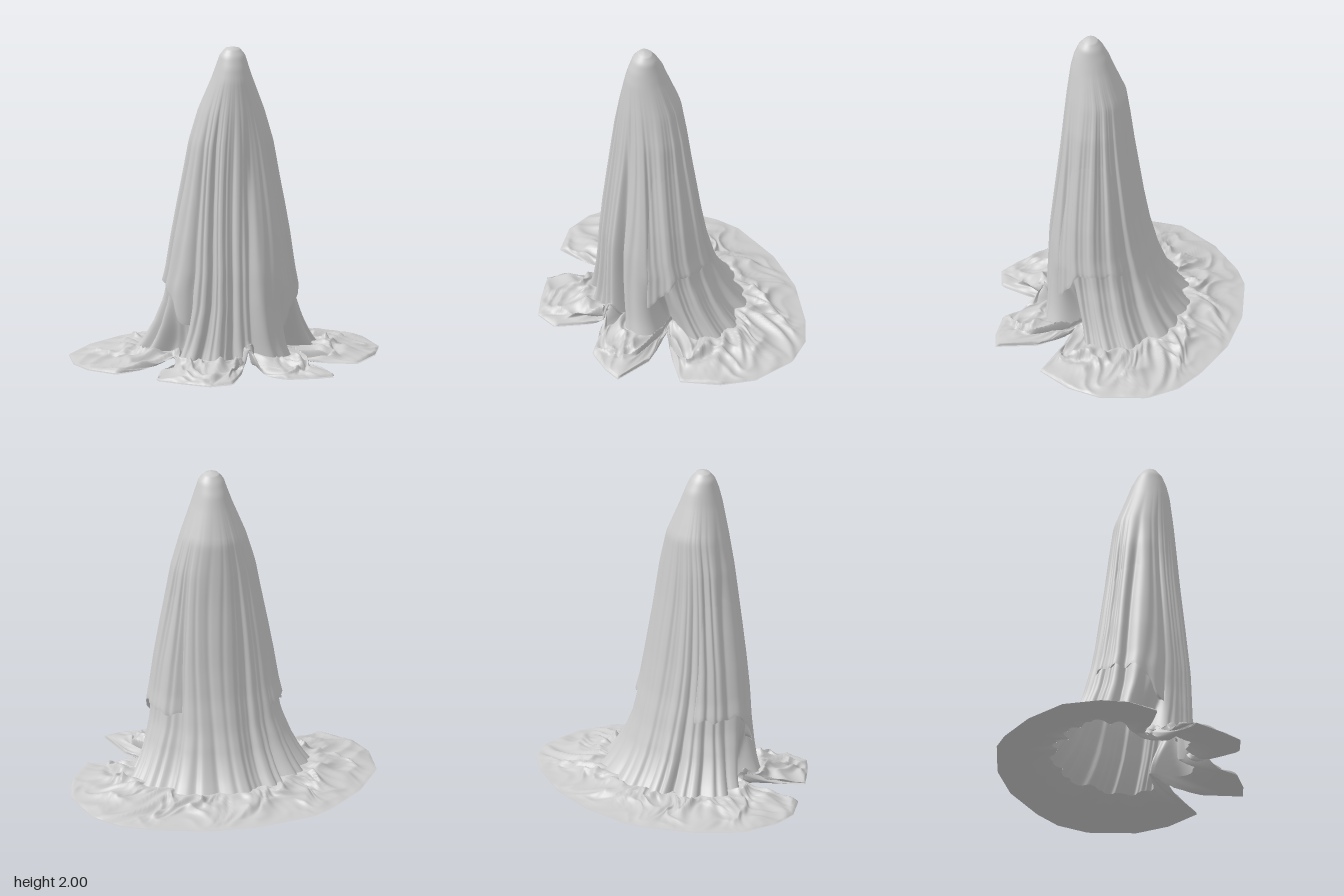
import * as THREE from 'three';

const material = new THREE.MeshStandardMaterial({ color: 0xcccccc, side: THREE.DoubleSide });
const { lerp, smoothstep, degToRad } = THREE.MathUtils;

// Cloth profile: height, half width, front z, back z
const PROFILE = [
  [2.0, 0, 0.17, 0.17], [1.99, 0.045, 0.205, 0.125], [1.95, 0.078, 0.24, 0.09],
  [1.88, 0.1, 0.268, 0.05], [1.8, 0.127, 0.287, 0.02], [1.6, 0.205, 0.312, -0.06],
  [1.4, 0.265, 0.332, -0.087], [1.2, 0.302, 0.352, -0.112], [1.0, 0.333, 0.375, -0.142],
  [0.8, 0.36, 0.398, -0.172], [0.6, 0.38, 0.42, -0.21], [0.4, 0.41, 0.428, -0.265],
  [0.25, 0.465, 0.434, -0.325], [0.14, 0.52, 0.44, -0.39], [0.07, 0.57, 0.455, -0.45],
];

// Edge of the cloth on the floor: angle from the front, x, z
const EDGE = [
  [0, 0.01, 0.46], [7, 0.05, 0.45], [12, 0.1, 0.54], [21, 0.24, 0.67], [32, 0.42, 0.68],
  [42, 0.54, 0.66], [52, 0.48, 0.41], [62, 0.33, 0.2], [70, 0.55, 0.28], [78, 0.75, 0.34],
  [88, 0.9, 0.14], [100, 0.965, -0.07], [115, 0.915, -0.36], [130, 0.78, -0.53],
  [143, 0.6, -0.63], [162, 0.27, -0.745], [183, -0.05, -0.775], [200, -0.4, -0.725],
  [212, -0.54, -0.655], [230, -0.77, -0.47], [248, -0.945, -0.23], [262, -0.965, 0.01],
  [272, -0.91, 0.18], [282, -0.76, 0.33], [292, -0.36, 0.19], [300, -0.34, 0.34],
  [312, -0.55, 0.54], [324, -0.4, 0.67], [334, -0.26, 0.77], [347, -0.11, 0.74],
  [360, 0.01, 0.46],
];

// Linear lookup in a table keyed by its first column
function lookup(table, key, descending) {
  const sign = descending ? -1 : 1;
  let i = 1;
  while (i < table.length - 1 && sign * table[i][0] < sign * key) i++;
  const a = table[i - 1], b = table[i];
  const t = THREE.MathUtils.clamp((key - a[0]) / (b[0] - a[0]), 0, 1);
  return a.map((n, k) => lerp(n, b[k], t));
}

const wrap = (deg) => ((deg % 360) + 360) % 360;
// Soft bump around an angle
function bump(deg, centre, width) {
  const d = wrap(deg - centre + 180) - 180;
  return Math.exp(-(d * d) / (width * width));
}
const sideNotch = (deg) => bump(deg, 58, 15) + bump(deg, 297, 15);
const lift = (deg) => 0.18 * bump(deg, 6, 5) + 0.07 * bump(deg, 62, 4) + 0.07 * bump(deg, 292, 4);

// Depth of the hanging folds, 0 on a ridge and about 1 in a valley
function folds(a, y) {
  const w = a + 0.13 * Math.sin(3 * a + 1) + 0.05 * Math.sin(2.5 * y + 4 * a);
  const reach = 0.75 + 0.25 * Math.sin(5 * a + 2 + 1.5 * y);
  const broad = Math.pow(0.5 + 0.5 * Math.cos(13 * w + 0.6), 2.2);
  const fine = Math.pow(0.5 + 0.5 * Math.cos(29 * w + 2 * Math.sin(2 * a)), 3);
  return reach * (0.75 * broad + 0.35 * fine);
}

// Point on the hanging cloth
function bodyPoint(deg, y, notched = true, scale = 1, foldScale = 1) {
  const a = degToRad(deg);
  const [, w, zf, zb] = lookup(PROFILE, y, true);
  const front = 0.5 + 0.5 * Math.cos(a);
  const low = 1 - smoothstep(y, 0.08, 0.5);
  // Folds deepen to the front and fan out near the floor
  const amp = smoothstep(2 - y, 0.1, 0.9) * lerp(0.07, 0.15, Math.sqrt(front)) + 0.08 * low * (1 - front);
  let r = 1 - foldScale * amp * folds(a, y);
  // Deep furrow down the front
  r -= 0.16 * bump(deg, 13, 4.5) * smoothstep(1.6 - y, 0, 0.6);
  if (notched) r -= 0.36 * Math.min(1, sideNotch(deg)) * low;
  r *= scale;
  const x = w * Math.sin(a) * r;
  const z = (zf + zb) / 2 + ((zf - zb) / 2) * Math.cos(a) * r;
  return [x, notched ? Math.max(y, lift(deg)) : y, z];
}

// Point on the floor train; t runs from the hanging cloth to the edge
function trainPoint(deg, t, crumple) {
  const a = degToRad(deg);
  const base = bodyPoint(deg, 0.07);
  const [, ox, oz] = lookup(EDGE, wrap(deg));
  const back = bump(deg, 183, 60);
  // Radial pleats, crossing creases and small crumples
  const radial = Math.abs(Math.sin(11 * a + 1.1 * Math.sin(7 * a + 5 * t) + 2 * t));
  const cross = Math.abs(Math.sin(8 * t + 2.2 * Math.sin(6 * a) + 1.1 * Math.sin(17 * a)));
  const small = Math.abs(Math.sin(31 * a + 7 * t + 2 * Math.sin(13 * a)));
  const fade = Math.min(1, 6 * t) * Math.pow(1 - t, lerp(0.4, 1.0, back));
  let y = base[1] * Math.pow(1 - t, 2.2);
  if (crumple) y += fade * (0.032 * (1 - radial) + 0.028 * (1 - cross) + 0.014 * (1 - small) + 0.008) + 0.008;
  const sway = crumple ? 0.025 * Math.sin(Math.PI * t) : 0;
  return [
    lerp(base[0], ox, t) + sway * Math.sin(9 * a + 7 * t),
    Math.max(y, lift(deg) * (1 - 0.2 * t)),
    lerp(base[2], oz, t) + sway * Math.cos(8 * a + 6 * t),
  ];
}

// Grid surface from a point rule; closed grids share their first column
function sheet(name, cols, rows, closed, point) {
  const positions = [], index = [];
  const width = closed ? cols : cols + 1;
  for (let i = 0; i <= rows; i++)
    for (let j = 0; j < width; j++) positions.push(...point(j / cols, i / rows));
  for (let i = 0; i < rows; i++)
    for (let j = 0; j < cols; j++) {
      const k = (j + 1) % width;
      const a = i * width + j, b = a + width, c = (i + 1) * width + k, d = i * width + k;
      index.push(a, b, c, a, c, d);
    }
  const geometry = new THREE.BufferGeometry();
  geometry.setAttribute('position', new THREE.Float32BufferAttribute(positions, 3));
  geometry.setIndex(index);
  geometry.computeVertexNormals();
  const mesh = new THREE.Mesh(geometry, material);
  mesh.name = name;
  return mesh;
}

export function createModel() {
  const group = new THREE.Group();
  group.name = 'drapedFigure';

  // Hanging cloth, with rows packed closer over the head
  group.add(sheet('hangingCloth', 360, 64, true, (u, v) =>
    bodyPoint(u * 360, 2 - 1.93 * Math.pow(v, 1.5))));

  // Crumpled cloth on the floor and its smooth underside
  group.add(sheet('floorTrain', 360, 36, true, (u, v) => trainPoint(u * 360, v, true)));
  group.add(sheet('trainUnderside', 180, 8, true, (u, v) => trainPoint(u * 360, v, false)));

  // Cloth over each arm, ending in a hem that drops towards the front
  for (const side of [1, -1]) {
    group.add(sheet(side > 0 ? 'leftSleeve' : 'rightSleeve', 70, 40, false, (u, v) => {
      const deg = side > 0 ? lerp(46, 134, u) : lerp(-134, -46, u);
      const hem = lerp(0.27, 0.5, smoothstep(Math.abs(deg), 48, 84)) + 0.012 * Math.sin(deg * 0.35);
      const drop = Math.min(1, v / 0.9);
      const curl = Math.max(0, (v - 0.9) / 0.1);
      const y = lerp(1.4, hem, drop) + 0.02 * Math.sin(curl * Math.PI * 0.5);
      const tuck = Math.pow(Math.abs(2 * u - 1), 8);
      const scale = 0.98 + 0.095 * drop * (1 - tuck) - 0.02 * tuck - 0.13 * curl * curl;
      const p = bodyPoint(deg, Math.max(y, 0.5), false, scale, lerp(1, 0.8, drop));
      return [p[0], y, p[2]];
    }));
  }
  return group;
}
